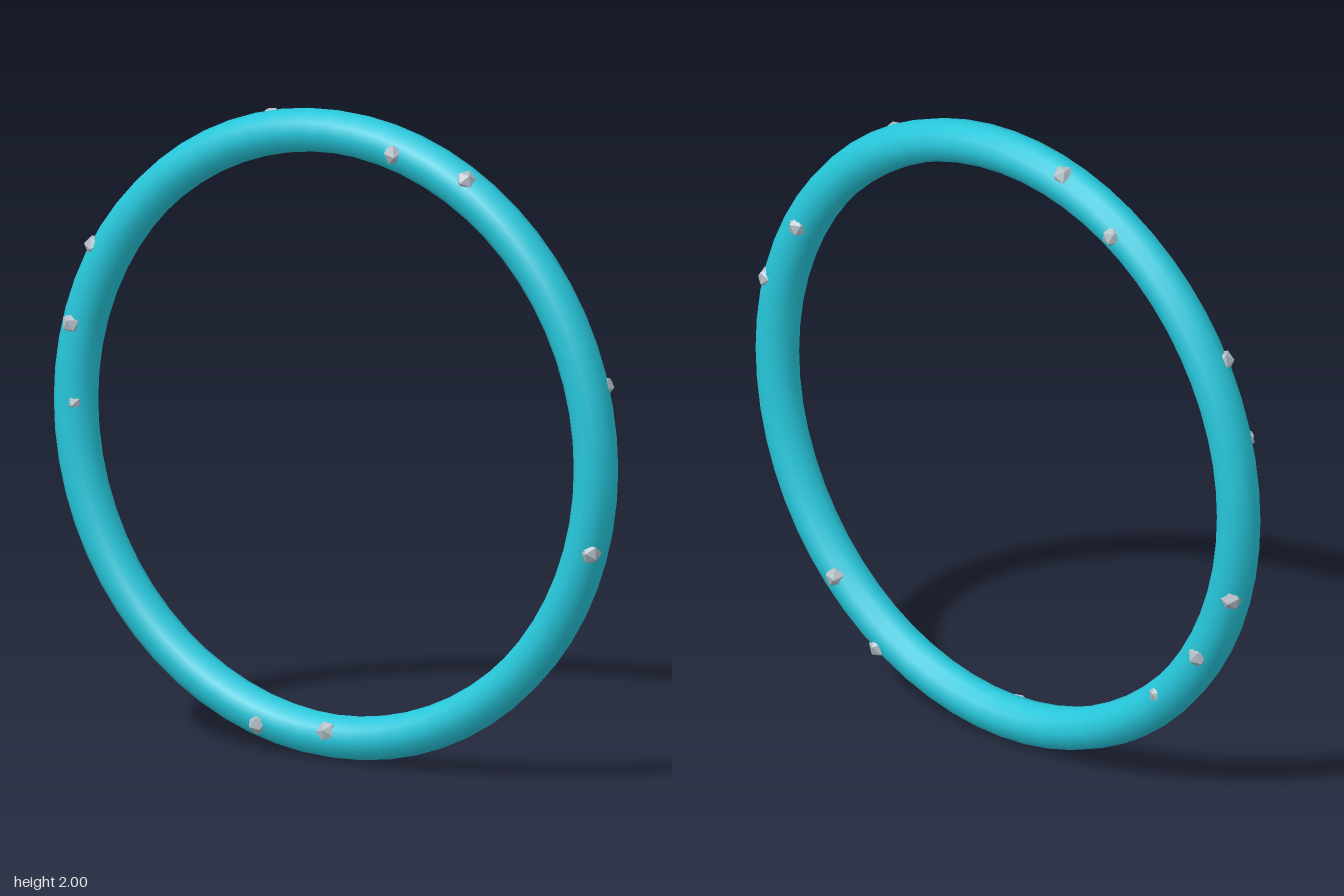
import * as THREE from 'three';

const RING = 0.931, TUBE = 0.067, CENTRE_Y = 1.003;

// Studs: [angle round the ring, angle round the tube (0 = outward, 90 = front), depth, size]
const STUDS = [
  [75, 90], [60, 38], [150, 35], [165, 78], [345, 45], [255, 76], [270, 116],
  [15, -48], [105, -38], [120, -82], [30, -98], [210, -80], [195, -45],
  [315, -105], [300, -55],
  [180, 118, 0.047, 0.028], [225, -108, 0.049, 0.029], // nearly sunk in
];

export function createModel() {
  const model = new THREE.Group();
  model.name = 'studdedRing';
  const teal = new THREE.MeshStandardMaterial({ color: 0x26c6da });
  teal.name = 'teal';
  const grey = new THREE.MeshStandardMaterial({ color: 0xb0bec5, flatShading: true });
  grey.name = 'pale grey';

  // Smooth upright hoop
  const hoop = new THREE.Mesh(new THREE.TorusGeometry(RING, TUBE, 12, 64), teal);
  hoop.name = 'hoop';
  hoop.position.y = CENTRE_Y;
  model.add(hoop);

  // Faceted studs half sunk into the tube
  const studs = new THREE.Group();
  studs.name = 'studs';
  const gem = new THREE.IcosahedronGeometry(1, 0);
  STUDS.forEach(([ringDeg, tubeDeg, depth = 0.052, size = 0.034], i) => {
    const a = THREE.MathUtils.degToRad(ringDeg);
    const t = THREE.MathUtils.degToRad(tubeDeg);
    const r = RING + depth * Math.cos(t);
    const stud = new THREE.Mesh(gem, grey);
    stud.name = 'stud' + (i + 1);
    stud.position.set(r * Math.cos(a), CENTRE_Y + r * Math.sin(a), depth * Math.sin(t));
    stud.rotation.set(0.3 * i, 0.5 * i, a);
    stud.scale.setScalar(size);
    studs.add(stud);
  });
  model.add(studs);
  return model;
}
